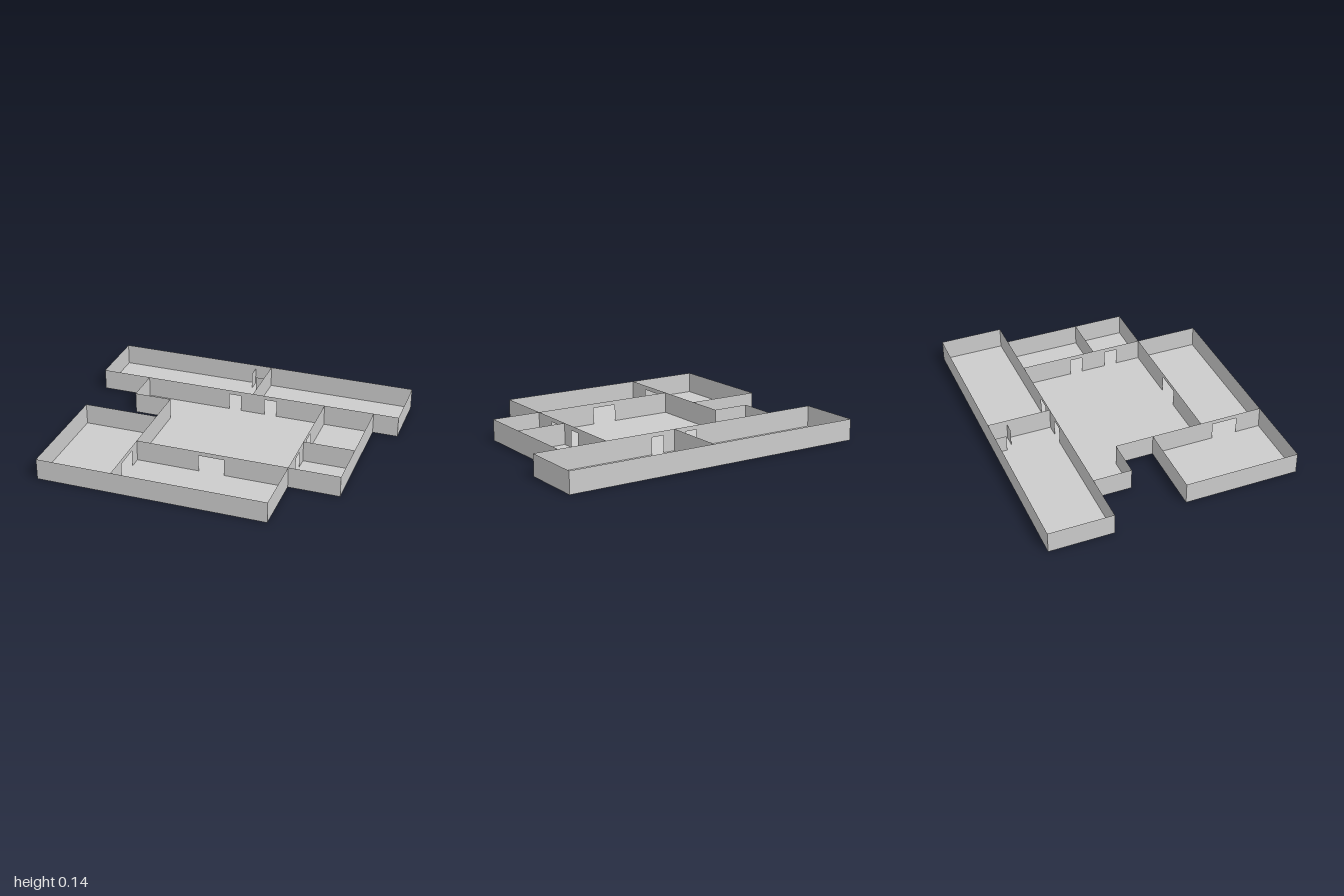
import * as THREE from 'three';

const H = 0.135;      // wall height
const DOOR_H = 0.107; // door opening height
const material = new THREE.MeshStandardMaterial({ color: 0xcccccc, side: THREE.DoubleSide, flatShading: true });

// Floor outline as [x, z]
const outline = [
  [-1, -0.8], [1, -0.8], [1, -0.4], [0.84, -0.4], [0.84, 0.4], [0.52, 0.4], [0.52, 0.8],
  [-0.92, 0.8], [-0.92, 0.08], [-0.44, 0.08], [-0.44, -0.16], [-0.68, -0.16], [-0.68, -0.4], [-1, -0.4],
];

// Sheet wall between two floor points; doors are [start, end] distances along it
function wall(name, [x0, z0], [x1, z1], doors = [], height = H) {
  const length = Math.hypot(x1 - x0, z1 - z0);
  const shape = new THREE.Shape();
  shape.moveTo(0, 0);
  for (const [a, b] of doors) {
    shape.lineTo(a, 0);
    shape.lineTo(a, DOOR_H);
    shape.lineTo(b, DOOR_H);
    shape.lineTo(b, 0);
  }
  shape.lineTo(length, 0);
  shape.lineTo(length, height);
  shape.lineTo(0, height);
  shape.closePath();
  const mesh = new THREE.Mesh(new THREE.ShapeGeometry(shape), material);
  mesh.name = name;
  mesh.position.set(x0, 0, z0);
  mesh.rotation.y = Math.atan2(z0 - z1, x1 - x0);
  return mesh;
}

export function createModel() {
  const model = new THREE.Group();
  model.name = 'floorPlan';

  // Floor slab
  const floorShape = new THREE.Shape(outline.map(([x, z]) => new THREE.Vector2(x, -z)));
  const floor = new THREE.Mesh(new THREE.ShapeGeometry(floorShape).rotateX(-Math.PI / 2), material);
  floor.name = 'floor';
  model.add(floor);

  // Outer walls, leaving out the stretches shared with the long back-room wall
  const outer = new THREE.Group();
  outer.name = 'outerWalls';
  outline.forEach((p, i) => {
    const q = outline[(i + 1) % outline.length];
    if (p[1] === -0.4 && q[1] === -0.4) return;
    outer.add(wall('outerWall', p, q));
  });
  model.add(outer);

  // Inner walls with door openings
  const inner = new THREE.Group();
  inner.name = 'innerWalls';
  inner.add(
    wall('backRoomWall', [-1, -0.4], [1, -0.4], [[0.88, 0.96], [1.12, 1.2]]),
    wall('backRoomPartition', [0.04, -0.8], [0.04, -0.4]),
    wall('sideRoomWall', [0.52, -0.4], [0.52, 0.4], [[0.32, 0.4], [0.56, 0.64]]),
    wall('sideRoomPartition', [0.52, 0.08], [0.84, 0.08]),
    wall('frontRoomWall', [-0.44, 0.4], [0.52, 0.4], [[0.4, 0.56]]),
    wall('leftRoomWall', [-0.44, 0.08], [-0.44, 0.8], [[0.4, 0.56]]),
  );
  model.add(inner);

  // Corner cubicle with an open diagonal entry and a small fixture inside
  const cubicle = new THREE.Group();
  cubicle.name = 'cornerCubicle';
  cubicle.add(
    wall('cubicleSide', [-0.07, -0.8], [-0.07, -0.72], [], DOOR_H),
    wall('cubicleFront', [-0.03, -0.68], [0.04, -0.68], [], DOOR_H),
  );
  const fixture = new THREE.Mesh(new THREE.BoxGeometry(0.015, 0.03, 0.035), material);
  fixture.name = 'cubicleFixture';
  fixture.position.set(-0.008, 0.015, -0.763);
  cubicle.add(fixture);
  model.add(cubicle);

  return model;
}
